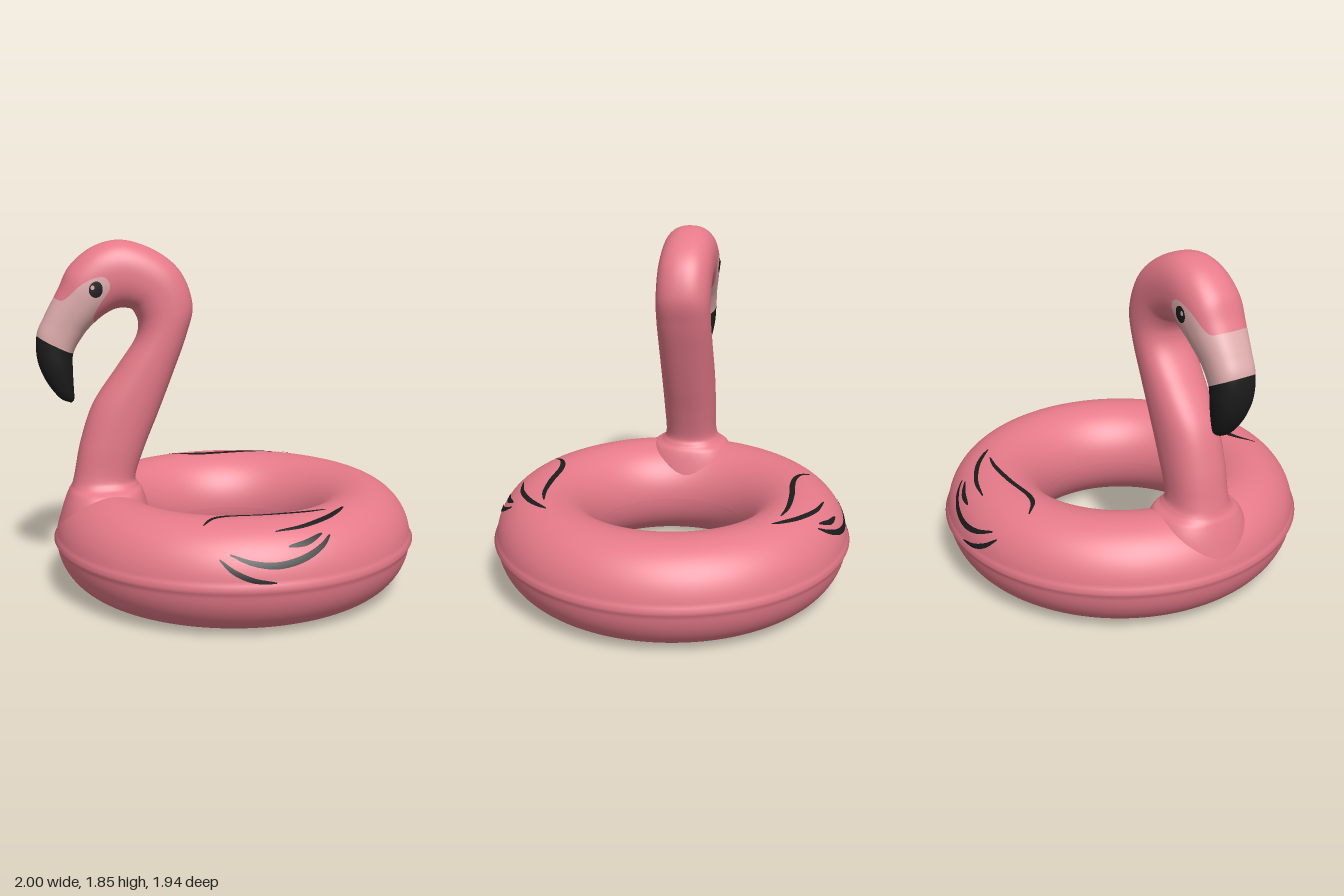
import * as THREE from 'three';

const CX = 0.03, MAJOR = 0.69, RX = 0.264, RY = 0.2725; // ring centre and tube size

const mat = (name, color, side = THREE.FrontSide) => {
  const m = new THREE.MeshStandardMaterial({ color, side });
  m.name = name;
  return m;
};

// Cross-sections along neck and head: left/under edge x,y, right/over edge x,y, half width
const SECTIONS = [
  [-0.925, 0.30, -0.41, 0.30, 0.27], [-0.885, 0.45, -0.44, 0.45, 0.255],
  [-0.855, 0.53, -0.465, 0.535, 0.22], [-0.835, 0.57, -0.49, 0.57, 0.168],
  [-0.82, 0.63, -0.5, 0.62, 0.146], [-0.785, 0.8, -0.445, 0.78, 0.148],
  [-0.715, 1.0, -0.375, 0.95, 0.15], [-0.585, 1.19, -0.29, 1.17, 0.15],
  [-0.49, 1.33, -0.225, 1.35, 0.15], [-0.472, 1.42, -0.19, 1.51, 0.15],
  [-0.5, 1.485, -0.25, 1.68, 0.15], [-0.53, 1.498, -0.38, 1.79, 0.15],
  [-0.56, 1.5, -0.55, 1.845, 0.15], [-0.6, 1.492, -0.7, 1.812, 0.15],
  [-0.65, 1.465, -0.82, 1.715, 0.147], [-0.7, 1.425, -0.88, 1.6, 0.135],
  [-0.755, 1.365, -0.955, 1.46, 0.117], [-0.81, 1.27, -0.995, 1.365, 0.108],
  [-0.815, 1.18, -0.995, 1.24, 0.1], [-0.813, 1.09, -0.955, 1.13, 0.078],
  [-0.812, 1.03, -0.89, 1.04, 0.048], [-0.825, 1.01, -0.84, 1.012, 0.008],
];
const LAST = SECTIONS.length - 1;
const under = new THREE.CatmullRomCurve3(SECTIONS.map(s => new THREE.Vector3(s[0], s[1], s[4])), false, 'catmullrom');
const over = new THREE.CatmullRomCurve3(SECTIONS.map(s => new THREE.Vector3(s[2], s[3], 0)), false, 'catmullrom');

// Point on the neck surface: t runs along the sections, a runs around them
function neckPoint(t, a) {
  const u = THREE.MathUtils.clamp(t / LAST, 0, 1);
  const p = under.getPoint(u), q = over.getPoint(u);
  const c = Math.cos(a), s = Math.sin(a), n = 2.35;
  const r = Math.pow(Math.abs(c) ** n + Math.abs(s) ** n, -1 / n);
  const k = 0.5 + 0.5 * c * r;
  return new THREE.Vector3(p.x + (q.x - p.x) * k, p.y + (q.y - p.y) * k, p.z * s * r);
}

function neckNormal(t, a) {
  const e = 0.01;
  const dt = neckPoint(t + e, a).sub(neckPoint(t - e, a));
  const da = neckPoint(t, a + e).sub(neckPoint(t, a - e));
  return dt.cross(da).normalize();
}

// Grid surface from point and normal functions of (i, j)
function gridGeometry(rows, cols, point, normal) {
  const pos = [], nor = [], idx = [];
  for (let i = 0; i <= rows; i++) {
    for (let j = 0; j <= cols; j++) {
      pos.push(...point(i / rows, j / cols).toArray());
      nor.push(...normal(i / rows, j / cols).toArray());
      if (i < rows && j < cols) {
        const a = i * (cols + 1) + j, b = a + cols + 1;
        idx.push(a, b, a + 1, b, b + 1, a + 1);
      }
    }
  }
  const g = new THREE.BufferGeometry();
  g.setAttribute('position', new THREE.Float32BufferAttribute(pos, 3));
  g.setAttribute('normal', new THREE.Float32BufferAttribute(nor, 3));
  g.setIndex(idx);
  return g;
}

// Piece of the neck between two borders that may vary around the section
function neckPiece(from, to, rows) {
  const t = (u, a) => from(a) + (to(a) - from(a)) * u;
  return gridGeometry(rows, 96,
    (u, v) => neckPoint(t(u, v * Math.PI * 2), v * Math.PI * 2),
    (u, v) => neckNormal(t(u, v * Math.PI * 2), v * Math.PI * 2));
}

// Border of the pale face, with a rounded lobe around each eye
function faceBorder(a) {
  const side = Math.abs(Math.atan2(Math.sin(a), Math.cos(a)));
  const lobe = Math.exp(-(Math.abs((side - 1.68) / 0.52) ** 3));
  return 15.1 + 0.2 * Math.cos(a) - 2.25 * lobe;
}

// Small disc that follows the side of the head
function headDisc(t0, a0, radius, lift) {
  const e = 0.01;
  const st = neckPoint(t0 + e, a0).distanceTo(neckPoint(t0 - e, a0)) / (2 * e);
  const sa = neckPoint(t0, a0 + e).distanceTo(neckPoint(t0, a0 - e)) / (2 * e);
  const at = (u, v) => [t0 + radius * u * Math.cos(v * Math.PI * 2) / st, a0 + radius * u * Math.sin(v * Math.PI * 2) / sa];
  return gridGeometry(4, 24,
    (u, v) => neckPoint(...at(u, v)).addScaledVector(neckNormal(...at(u, v)), lift),
    (u, v) => neckNormal(...at(u, v)));
}

// Nearest ring surface point and normal
function ringSurface(p) {
  const phi = Math.atan2(p.z, p.x - CX);
  const a = Math.atan2((p.y - RY) / RY, (Math.hypot(p.x - CX, p.z) - MAJOR) / RX);
  const r = MAJOR + RX * Math.cos(a);
  const point = new THREE.Vector3(CX + r * Math.cos(phi), RY + RY * Math.sin(a), r * Math.sin(phi));
  const normal = new THREE.Vector3(Math.cos(a) / RX * Math.cos(phi), Math.sin(a) / RY, Math.cos(a) / RX * Math.sin(phi)).normalize();
  return { point, normal };
}

const fromTop = ([x, z]) => {
  const d = (Math.hypot(x - CX, z) - MAJOR) / RX;
  return new THREE.Vector3(x, RY + RY * Math.sqrt(Math.max(0, 1 - d * d)), z);
};
const fromFront = ([x, y]) => {
  const d = (y - RY) / RY;
  const r = MAJOR + RX * Math.sqrt(1 - d * d);
  return new THREE.Vector3(x, y, Math.sqrt(r * r - (x - CX) ** 2));
};

// Tapered brush stroke lying on the ring
function stroke(points, width, mirror) {
  const curve = new THREE.CatmullRomCurve3(points);
  const sample = (u, v) => {
    const { point, normal } = ringSurface(curve.getPoint(u));
    const across = curve.getTangent(u).cross(normal).normalize();
    const w = width * Math.pow(Math.sin(Math.PI * (0.04 + 0.92 * u)), 0.7);
    const s = ringSurface(point.addScaledVector(across, (v - 0.5) * w));
    s.point.addScaledVector(s.normal, 0.004);
    s.point.z *= mirror;
    s.normal.z *= mirror;
    return s;
  };
  const g = gridGeometry(32, 4, (u, v) => sample(u, v).point, (u, v) => sample(u, v).normal);
  // Wind faces outward on both sides
  const ix = g.index.array, P = g.attributes.position, N = g.attributes.normal;
  const [a, b, c] = [0, 1, 2].map(k => new THREE.Vector3().fromBufferAttribute(P, ix[96 + k]));
  const face = b.sub(a).cross(c.sub(a));
  if (face.dot(new THREE.Vector3().fromBufferAttribute(N, ix[96])) < 0) ix.reverse();
  return g;
}

export function createModel() {
  const model = new THREE.Group();
  model.name = 'flamingoFloat';
  const pink = mat('pink', 0xe67a89);
  const pale = mat('palePink', 0xe0adad);
  const black = mat('black', 0x1c1c1c);
  const add = (name, geometry, material) => {
    const m = new THREE.Mesh(geometry, material);
    m.name = name;
    model.add(m);
    return m;
  };

  // Swim ring with a slim welded seam on its outer edge
  const profile = [];
  for (let i = 0; i <= 80; i++) {
    const a = -Math.PI + (i / 80) * Math.PI * 2;
    const seam = 0.014 * Math.exp(-((a / 0.05) ** 2));
    profile.push(new THREE.Vector2(MAJOR + RX * Math.cos(a) + seam, RY + RY * Math.sin(a)));
  }
  add('swimRing', new THREE.LatheGeometry(profile, 128), pink).position.x = CX;

  // Neck and head, pale face, dark beak tip
  const tipBorder = () => 17;
  add('neckAndHead', neckPiece(() => 0, faceBorder, 110), pink);
  add('face', neckPiece(faceBorder, tipBorder, 32), pale);
  add('beakTip', neckPiece(tipBorder, () => LAST, 32), black);

  // Eyes with a glint
  for (const s of [1, -1]) {
    const side = s > 0 ? 'left' : 'right';
    add(side + 'Eye', headDisc(13.6, s * 1.66, 0.038, 0.003), black);
    add(side + 'EyeGlint', headDisc(13.68, s * 1.54, 0.011, 0.006), pale);
  }

  // Wing feather strokes on both sides of the ring
  const feathers = [
    [[[-0.25, 0.73], [-0.19, 0.675], [-0.1, 0.65], [0.1, 0.655], [0.28, 0.645], [0.38, 0.62]].map(fromTop), 0.03],
    [[[0.08, 0.82], [0.22, 0.785], [0.36, 0.705], [0.44, 0.63], [0.48, 0.58]].map(fromTop), 0.028],
    [[[-0.15, 0.43], [-0.05, 0.395], [0.07, 0.38], [0.2, 0.4], [0.3, 0.44], [0.35, 0.475]].map(fromFront), 0.034],
    [[[-0.2, 0.41], [-0.14, 0.36], [-0.05, 0.32], [0.06, 0.303]].map(fromFront), 0.026],
    [[[0.13, 0.452], [0.22, 0.46], [0.31, 0.485]].map(fromFront), 0.03],
  ];
  for (const s of [1, -1]) {
    feathers.forEach(([points, width], i) =>
      add((s > 0 ? 'left' : 'right') + 'Feather' + (i + 1), stroke(points, width, s), black));
  }
  return model;
}
